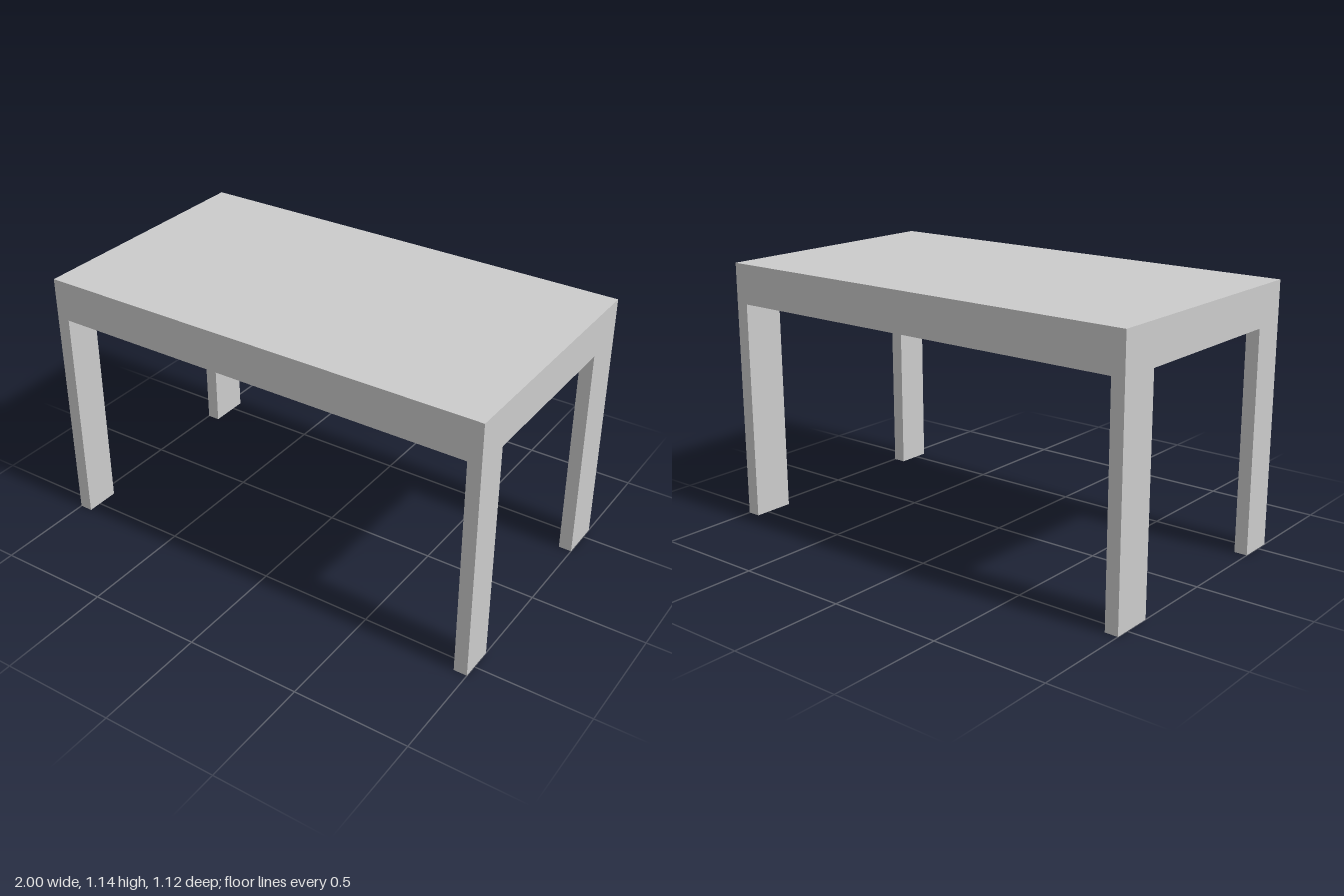
import * as THREE from 'three';

const WIDTH = 2, DEPTH = 1.12, HEIGHT = 1.145;
const LEG_HEIGHT = 0.97, LEG_WIDTH = 0.058;
const FRONT_LEG_DEPTH = 0.155, BACK_LEG_DEPTH = 0.185;

export function createModel() {
  const model = new THREE.Group();
  model.name = 'table';
  const material = new THREE.MeshStandardMaterial({ color: 0xcccccc });

  // Box standing on height y
  const addBox = (name, w, h, d, x, y, z) => {
    const mesh = new THREE.Mesh(new THREE.BoxGeometry(w, h, d), material);
    mesh.name = name;
    mesh.position.set(x, y + h / 2, z);
    model.add(mesh);
  };

  // Thick solid top
  addBox('tableTop', WIDTH, HEIGHT - LEG_HEIGHT, DEPTH, 0, LEG_HEIGHT, 0);

  // Flat legs flush with the corners; the back pair is a little deeper
  for (const [side, sx] of [['Left', 1], ['Right', -1]]) {
    for (const [end, sz, depth] of [['front', 1, FRONT_LEG_DEPTH], ['back', -1, BACK_LEG_DEPTH]]) {
      addBox(`${end}${side}Leg`, LEG_WIDTH, LEG_HEIGHT, depth,
        sx * (WIDTH - LEG_WIDTH) / 2, 0, sz * (DEPTH - depth) / 2);
    }
  }
  return model;
}
